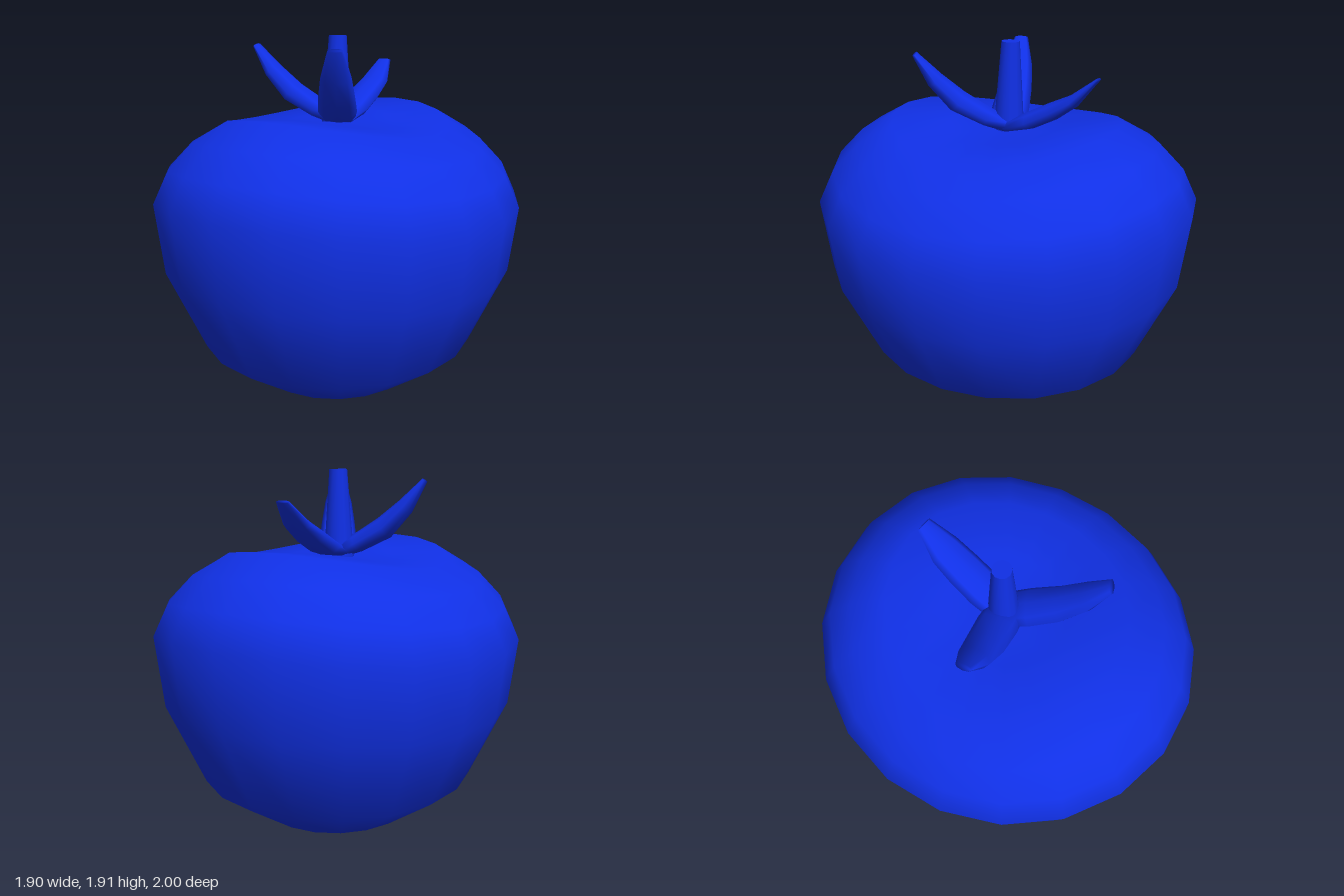
import * as THREE from 'three';
import { mergeVertices } from 'three/addons/utils/BufferGeometryUtils.js';

const blue = new THREE.MeshStandardMaterial({ color: 0x1030e6 });

function addMesh(parent, geometry, name) {
  const mesh = new THREE.Mesh(geometry, blue);
  mesh.name = name;
  parent.add(mesh);
  return mesh;
}

// Turned fruit, slightly narrower in x, with its shoulders raised at front and back
function fruitGeometry() {
  const profile = [
    [0, 0], [0.27, 0.013], [0.45, 0.075], [0.765, 0.298], [0.96, 0.73],
    [1, 1.09], [0.92, 1.25], [0.79, 1.38], [0.6, 1.485], [0.3, 1.475], [0, 1.46],
  ].map(([r, y]) => new THREE.Vector2(r, y));
  let g = new THREE.LatheGeometry(profile, 20);
  g.deleteAttribute('uv');
  g.deleteAttribute('normal');
  const p = g.attributes.position;
  for (let i = 0; i < p.count; i++) {
    const x = p.getX(i), y = p.getY(i), z = p.getZ(i);
    const r2 = x * x + z * z;
    const saddle = r2 > 1e-6 ? (z * z - x * x) / r2 : 0;
    const lift = THREE.MathUtils.smoothstep(y, 0.4, 1.1) * Math.min(1, Math.sqrt(r2) / 0.6);
    p.setXYZ(i, x * 0.952, y + 0.045 * saddle * lift, z);
  }
  g = mergeVertices(g, 1e-4);
  g.computeVertexNormals();
  return g;
}

// Leaf pointing along +z; each section is [z, y, half width, half thickness]
function leafGeometry(sections, sides = 8) {
  const pos = [], index = [];
  sections.forEach(([z, y, w, t], i) => {
    const a = sections[Math.max(i - 1, 0)];
    const b = sections[Math.min(i + 1, sections.length - 1)];
    const slope = Math.atan2(b[1] - a[1], b[0] - a[0]);
    for (let j = 0; j < sides; j++) {
      const q = (j / sides) * Math.PI * 2, n = t * Math.sin(q);
      pos.push(w * Math.cos(q), y + n * Math.cos(slope), z - n * Math.sin(slope));
    }
  });
  const last = (sections.length - 1) * sides;
  for (let i = 0; i < last; i += sides) {
    for (let j = 0; j < sides; j++) {
      const k = (j + 1) % sides;
      index.push(i + j, i + k, i + sides + j, i + k, i + sides + k, i + sides + j);
    }
  }
  // End caps
  for (let j = 1; j < sides - 1; j++) {
    index.push(0, j + 1, j, last, last + j, last + j + 1);
  }
  const g = new THREE.BufferGeometry();
  g.setAttribute('position', new THREE.Float32BufferAttribute(pos, 3));
  g.setIndex(index);
  g.computeVertexNormals();
  return g;
}

export function createModel() {
  const model = new THREE.Group();
  model.name = 'tomato';
  addMesh(model, fruitGeometry(), 'fruit');

  // Tapered stem, leaning slightly back
  const stem = addMesh(model, new THREE.CylinderGeometry(0.046, 0.08, 0.46, 12), 'stem');
  stem.position.set(-0.013, 1.675, -0.012);
  stem.rotation.x = -0.02;

  // Two steep leaves and one lower leaf at the back
  const steep = [
    [0, 1.48, 0.09, 0.035], [0.11, 1.53, 0.1, 0.05], [0.25, 1.61, 0.092, 0.06],
    [0.36, 1.72, 0.075, 0.045], [0.455, 1.85, 0.037, 0.015],
  ];
  const low = [
    [0.02, 1.48, 0.09, 0.03], [0.14, 1.52, 0.098, 0.045], [0.26, 1.58, 0.095, 0.045],
    [0.37, 1.645, 0.085, 0.032], [0.485, 1.757, 0.04, 0.009],
  ];
  const leaves = [
    ['rightLeaf', steep, -0.44, 0.125],
    ['frontLeaf', steep, 0.25, 0.4],
    ['backLeaf', low, -0.005, -0.49],
  ];
  for (const [name, sections, x, z] of leaves) {
    addMesh(model, leafGeometry(sections), name).rotation.y = Math.atan2(x, z);
  }
  return model;
}
